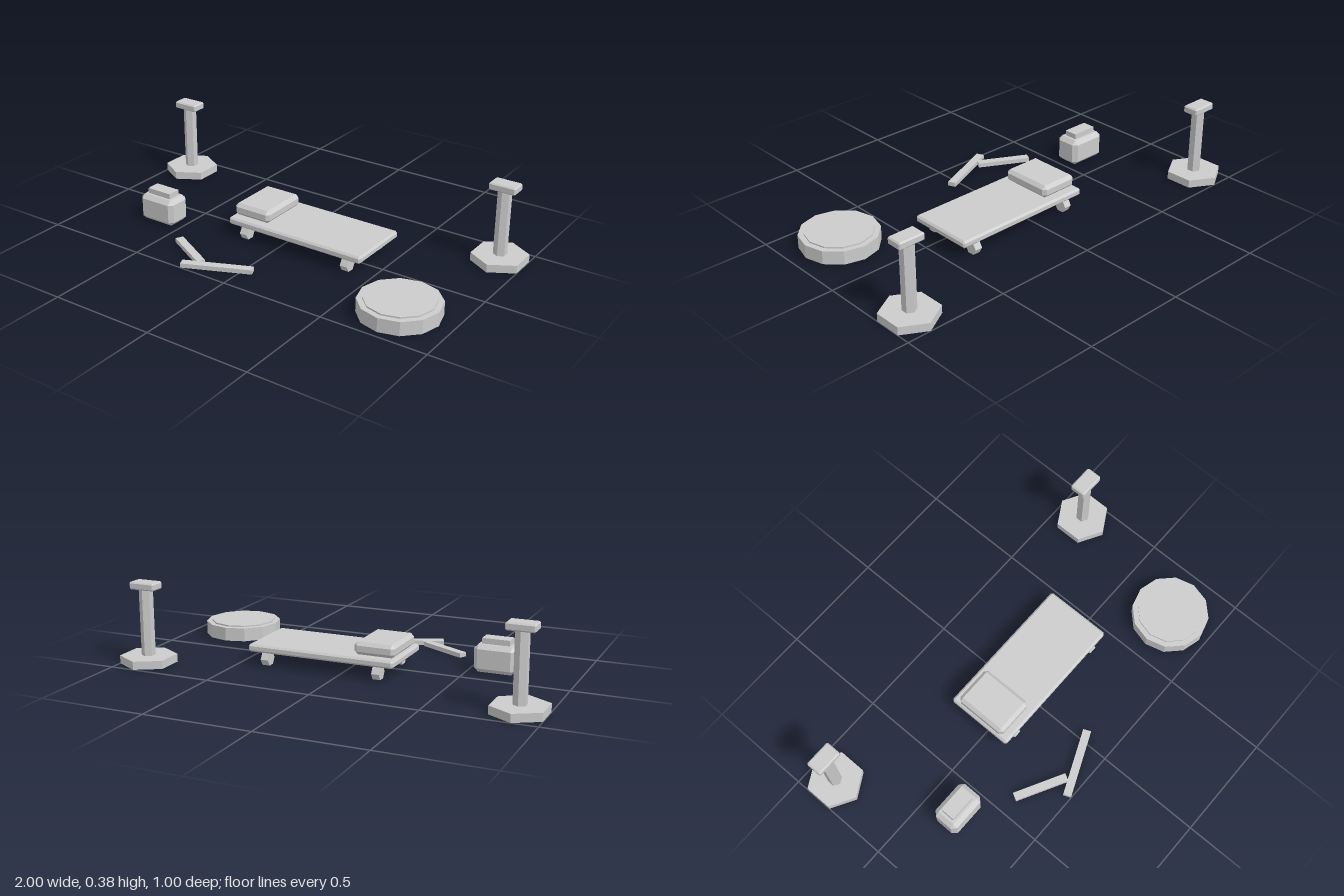
import * as THREE from 'three';
import { ConvexGeometry } from 'three/addons/geometries/ConvexGeometry.js';

const FLOOR = 0.017;
const material = new THREE.MeshStandardMaterial({ color: 0xcccccc, flatShading: true });

function add(parent, name, geometry, x, y, z) {
  const mesh = new THREE.Mesh(geometry, material);
  mesh.name = name;
  mesh.position.set(x, y, z);
  parent.add(mesh);
  return mesh;
}

// Box whose edges and corners are cut at 45 degrees
function chamferBox(w, h, d, c) {
  const points = [];
  const [a, b, e] = [w / 2, h / 2, d / 2];
  for (const sx of [-1, 1]) for (const sy of [-1, 1]) for (const sz of [-1, 1]) {
    points.push(
      new THREE.Vector3(sx * a, sy * (b - c), sz * (e - c)),
      new THREE.Vector3(sx * (a - c), sy * b, sz * (e - c)),
      new THREE.Vector3(sx * (a - c), sy * (b - c), sz * e)
    );
  }
  return new ConvexGeometry(points);
}

function group(parent, name) {
  const g = new THREE.Group();
  g.name = name;
  parent.add(g);
  return g;
}

// Upright post: hexagonal foot, hexagonal column, chamfered cap
function addPost(parent, name, x) {
  const post = group(parent, name);
  post.position.set(x, 0, -0.369);
  add(post, 'postBase', new THREE.CylinderGeometry(0.131, 0.131, 0.038, 6), 0, FLOOR + 0.019, 0);
  add(post, 'postColumn', new THREE.CylinderGeometry(0.032, 0.032, 0.32, 6), 0, 0.21, 0);
  add(post, 'postCap', chamferBox(0.128, 0.035, 0.077, 0.006), 0, 0.383, 0);
}

// Flat stick lying on the ground between two [x, z] points
function addStick(parent, name, [x1, z1], [x2, z2]) {
  const length = Math.hypot(x2 - x1, z2 - z1);
  const stick = add(parent, name, new THREE.BoxGeometry(length, 0.021, 0.038),
    (x1 + x2) / 2, FLOOR + 0.0105, (z1 + z2) / 2);
  stick.rotation.y = -Math.atan2(z2 - z1, x2 - x1);
}

export function createModel() {
  const model = new THREE.Group();
  model.name = 'workshopSet';

  addPost(model, 'rightPost', -0.886);
  addPost(model, 'leftPost', 0.886);

  // Wheeled board with a headrest cushion
  const creeper = group(model, 'wheeledBoard');
  creeper.position.set(0.0955, 0, -0.0415);
  add(creeper, 'deck', chamferBox(0.717, 0.036, 0.327, 0.009), 0, 0.0945, 0);
  add(creeper, 'headrest', chamferBox(0.195, 0.06, 0.26, 0.016), -0.253, 0.143, 0);
  const wheel = new THREE.CylinderGeometry(0.033, 0.033, 0.037, 6).rotateZ(Math.PI / 2);
  for (const sx of [-1, 1]) for (const sz of [-1, 1]) {
    add(creeper, 'wheel', wheel, sx * 0.275, FLOOR + 0.0286, sz * 0.131);
  }

  // Canister with a raised lid
  const canister = group(model, 'canister');
  canister.position.set(-0.627, 0, 0.155);
  add(canister, 'canisterBody', chamferBox(0.195, 0.13, 0.128, 0.02), 0, 0.082, 0);
  add(canister, 'canisterLid', new THREE.BoxGeometry(0.13, 0.036, 0.065), 0, 0.155, 0);

  // Round pan with a slightly raised top
  const pan = group(model, 'roundPan');
  pan.position.set(0.752, 0, 0.286);
  add(pan, 'panBody', new THREE.CylinderGeometry(0.183, 0.183, 0.065, 12), 0, FLOOR + 0.0325, 0);
  add(pan, 'panTop', new THREE.CylinderGeometry(0.157, 0.157, 0.02, 12), 0, 0.079, 0);

  // Two crossed sticks on the ground
  const sticks = group(model, 'sticks');
  addStick(sticks, 'longStick', [-0.252, 0.482], [0.048, 0.353]);
  addStick(sticks, 'shortStick', [-0.412, 0.303], [-0.186, 0.425]);

  return model;
}
